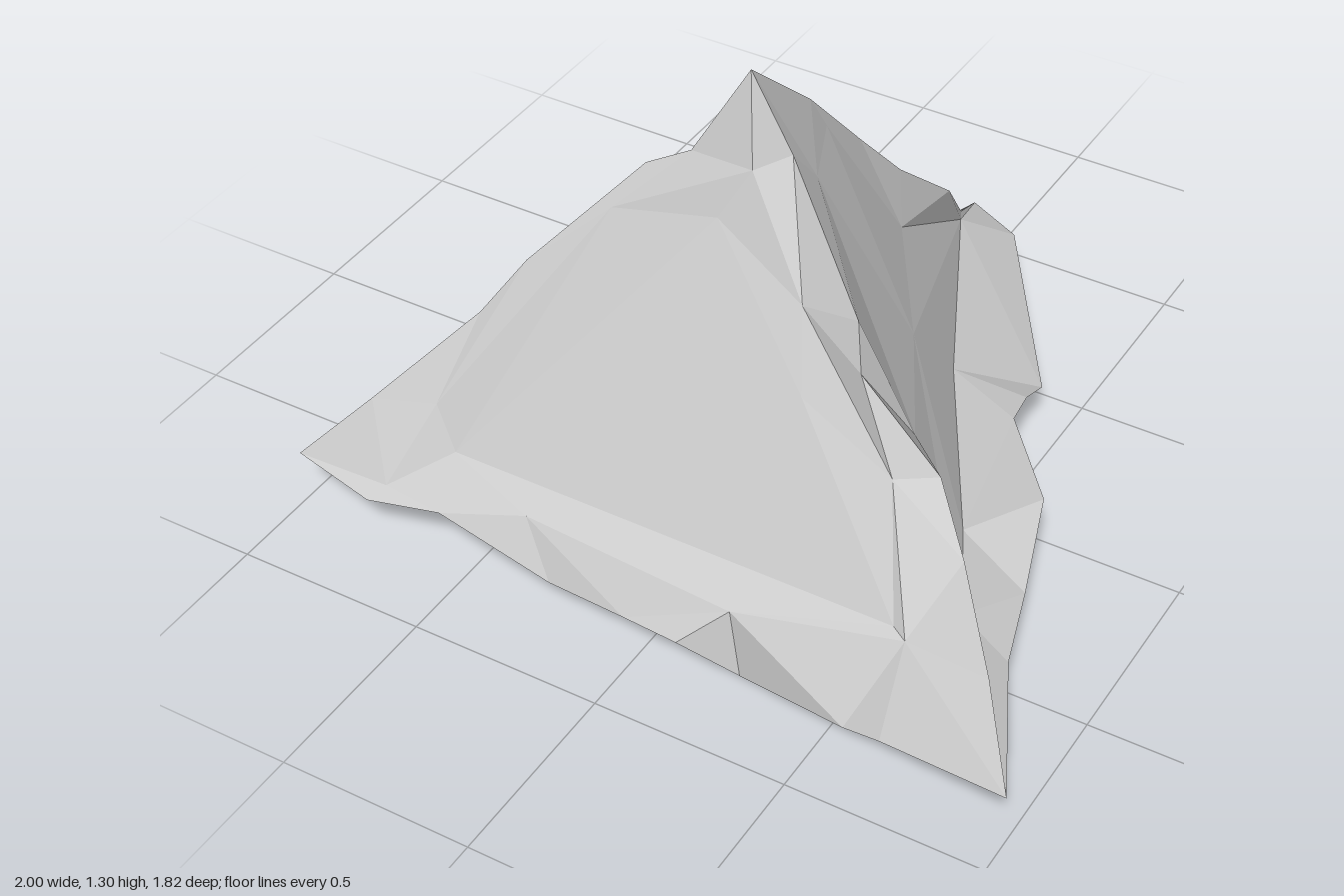
import * as THREE from 'three';

const v = (p) => p.map((q) => new THREE.Vector3(...q));

// Four corners of the rough tetrahedral rock: top, left front, right front, back
const [T, L, R, K] = v([[-0.01, 1.3, 0.26], [-1, 0.15, 0.77], [1, 0.14, 0.91], [-0.03, 0.2, -0.91]]);

// Chipped ridges between the corners
const ridges = {
  TL: [T, ...v([[-0.14, 1.07, 0.31], [-0.25, 1.01, 0.33], [-0.5, 0.73, 0.47], [-0.6, 0.58, 0.53], [-0.83, 0.33, 0.68]]), L],
  TR: [T, ...v([[0.09, 1.1, 0.25], [0.36, 0.86, 0.43], [0.39, 0.75, 0.47], [0.59, 0.53, 0.46], [0.7, 0.4, 0.55], [0.86, 0.27, 0.73]]), R],
  TK: [T, ...v([[-0.01, 1.07, 0], [0, 0.83, -0.22], [0.03, 0.66, -0.37], [0.05, 0.46, -0.6], [0, 0.27, -0.77]]), K],
  LR: [L, ...v([[-0.77, 0.13, 0.81], [-0.58, 0.15, 0.78], [-0.27, 0.07, 0.78], [-0.05, 0.08, 0.8], [0.1, 0.08, 0.81],
    [0.24, 0, 0.76], [0.54, 0.03, 0.81], [0.65, 0.07, 0.84]]), R],
  KL: [K, ...v([[-0.2, 0.14, -0.62], [-0.27, 0.08, -0.54], [-0.45, 0.12, -0.28], [-0.54, 0.16, -0.2], [-0.62, 0.14, 0],
    [-0.68, 0.13, 0.1], [-0.8, 0.12, 0.35], [-0.88, 0.12, 0.55]]), L],
  KR: [K, ...v([[0.11, 0.17, -0.87], [0.44, 0.13, -0.38], [0.45, 0.18, -0.27], [0.47, 0.2, -0.16], [0.68, 0.23, 0.1],
    [0.76, 0.17, 0.35], [0.82, 0.15, 0.55]]), R],
};
const edge = (name) => ridges[name] || [...ridges[name[1] + name[0]]].reverse();

// Each face: its ridges in order, then rings from the ridges in to the flat panel, one row per ridge
const faces = [
  { name: 'front', edges: ['TL', 'LR', 'RT'], rings: [[
    [[0.02, 1.07, 0.31], [-0.31, 0.9, 0.39], [-0.66, 0.36, 0.65]],
    [[-0.74, 0.16, 0.77], [-0.36, 0.2, 0.73], [0.21, 0.18, 0.75]],
    [[0.63, 0.24, 0.69], [0.5, 0.53, 0.52], [0.2, 0.82, 0.4]],
  ], [
    [[-0.05, 0.94, 0.35]],
    [[-0.6, 0.25, 0.67]],
    [[0.59, 0.25, 0.67], [0.25, 0.64, 0.49]],
  ]] },
  { name: 'leftBack', edges: ['TK', 'KL', 'LT'], rings: [[
    [[-0.13, 0.95, 0.18], [-0.04, 0.81, -0.12]],
    [[-0.01, 0.27, -0.75], [-0.39, 0.22, -0.14]],
    [[-0.73, 0.24, 0.52], [-0.21, 0.93, 0.27]],
  ]] },
  { name: 'rightBack', edges: ['TR', 'RK', 'KT'], rings: [[
    [[0.1, 0.99, 0.16], [0.46, 0.51, 0.34]],
    [[0.7, 0.24, 0.55], [0.57, 0.24, 0.3], [0.28, 0.25, -0.2]],
    [[0.01, 0.26, -0.75], [0.09, 0.57, -0.27], [0.01, 0.98, -0.04]],
  ]] },
  { name: 'bottom', edges: ['LK', 'KR', 'RL'], rings: [[
    [[-0.7, 0.03, 0.61], [-0.5, 0.06, 0.22], [-0.42, 0.1, -0.22]],
    [[-0.03, 0.06, -0.66], [0.3, 0.06, -0.24], [0.48, 0.04, 0.1], [0.62, 0.06, 0.45]],
    [[0.74, 0.06, 0.57], [0.37, 0.05, 0.6], [-0.17, 0.07, 0.6], [-0.45, 0.08, 0.62]],
  ], [
    [[-0.5, 0.12, 0.48], [-0.32, 0.11, 0.05]],
    [[0, 0.08, -0.55], [0.27, 0.07, -0.2], [0.42, 0.06, 0.1]],
    [[0.56, 0.07, 0.45], [-0.1, 0.1, 0.5]],
  ]] },
];

const material = new THREE.MeshStandardMaterial({ color: 0xcccccc, flatShading: true });

function facetMesh(name, triangles) {
  const geometry = new THREE.BufferGeometry().setFromPoints(triangles);
  geometry.computeVertexNormals();
  const mesh = new THREE.Mesh(geometry, material);
  mesh.name = name;
  return mesh;
}

// Fills the strip between two borders, always taking the shorter diagonal
function bridge(outer, inner) {
  const tris = [];
  let i = 0, j = 0;
  while (i < outer.length - 1 || j < inner.length - 1) {
    const stepOuter = j === inner.length - 1 || (i < outer.length - 1 &&
      outer[i + 1].distanceTo(inner[j]) < outer[i].distanceTo(inner[j + 1]));
    if (stepOuter) tris.push(outer[i], outer[++i], inner[j]);
    else tris.push(outer[i], inner[j + 1], inner[j++]);
  }
  return tris;
}

export function createModel() {
  const group = new THREE.Group();
  group.name = 'rock';
  for (const { name, edges, rings } of faces) {
    // Chipped rim, stepping from the ridges in to the panel
    let outer = edges.map(edge);
    const rim = [];
    for (const ring of rings) {
      const rows = ring.map(v);
      const inner = rows.map((row, k) => [...row, rows[(k + 1) % 3][0]]);
      inner.forEach((row, k) => rim.push(...bridge(outer[k], row)));
      outer = inner;
    }
    group.add(facetMesh(name + 'Rim', rim));

    // Broad flat panel
    const border = outer.flatMap((row) => row.slice(0, -1));
    const centre = border.reduce((s, p) => s.add(p), new THREE.Vector3()).divideScalar(border.length);
    const panel = border.flatMap((p, k) => [p, border[(k + 1) % border.length], centre]);
    group.add(facetMesh(name + 'Panel', panel));
  }
  return group;
}
